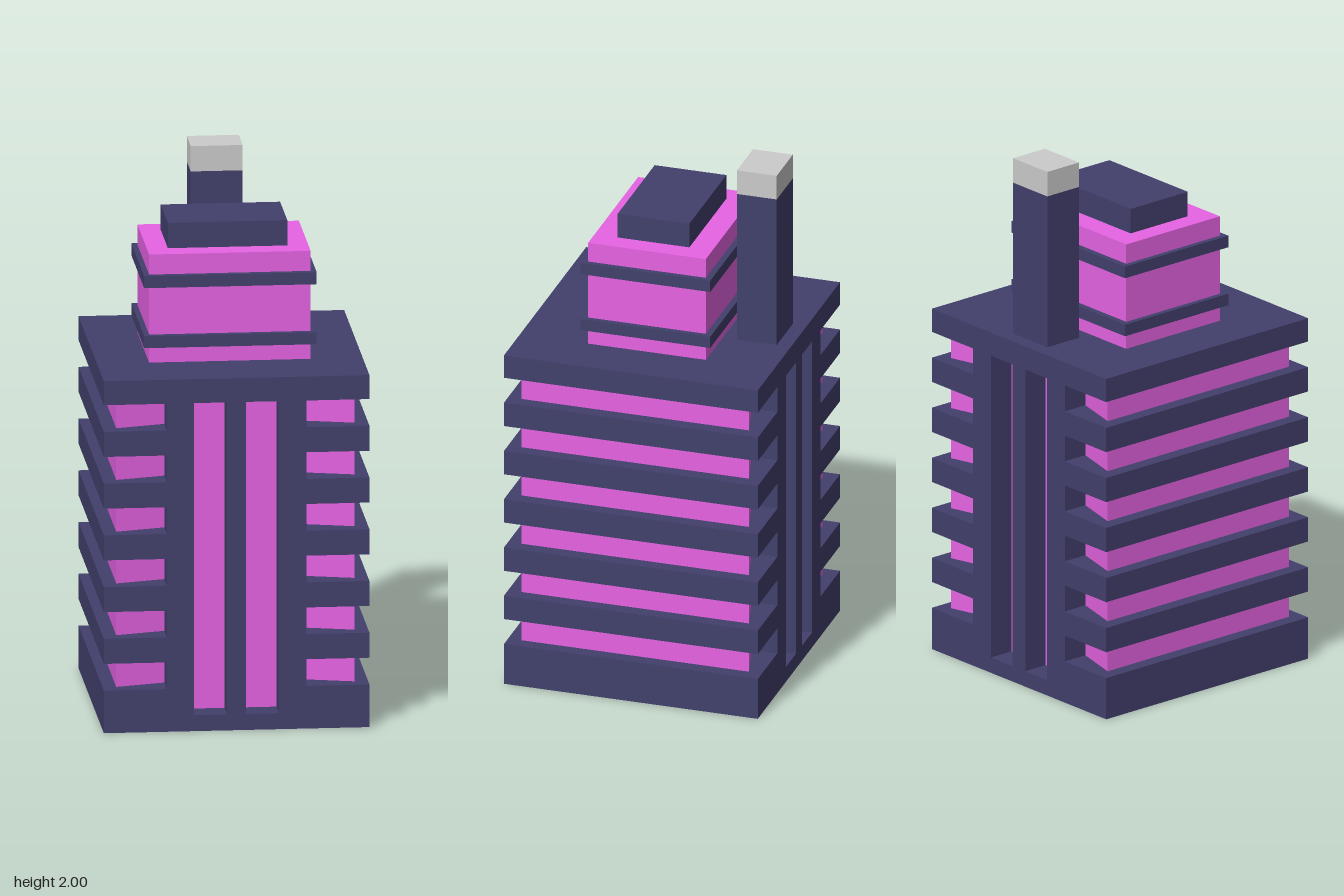
import * as THREE from 'three';

const mat = (color) => new THREE.MeshStandardMaterial({ color, flatShading: true });

export function createModel() {
  const group = new THREE.Group();
  const navy = mat(0x42406c), pink = mat(0xe663e3), grey = mat(0xcccccc);

  const add = (name, geometry, material) => {
    const mesh = new THREE.Mesh(geometry, material);
    mesh.name = name;
    group.add(mesh);
    return mesh;
  };
  // Box from half width, half depth, bottom, top and centre z
  const block = (name, hx, hz, y0, y1, material, z = 0) => {
    const mesh = add(name, new THREE.BoxGeometry(hx * 2, y1 - y0, hz * 2), material);
    mesh.position.set(0, (y0 + y1) / 2, z);
  };

  const W = 0.485, ROOF = 1.32, PANEL = 0.1, PITCH = 0.194, GAP = 0.1;
  const gaps = Array.from({ length: 6 }, (_, i) => 0.16 + i * PITCH);

  // Facade panel: comb-shaped sides and two tall window slots
  const right = [[W, 0]];
  for (const y of gaps) right.push([W, y], [0.255, y], [0.255, y + GAP], [W, y + GAP]);
  right.push([W, ROOF]);
  const left = right.map(([x, y]) => [-x, y]).reverse();
  const panel = new THREE.Shape([...right, ...left].map(([x, y]) => new THREE.Vector2(x, y)));
  for (const x of [-0.155, 0.035]) {
    panel.holes.push(new THREE.Path([
      [x, 0.06], [x, 1.23], [x + 0.12, 1.23], [x + 0.12, 0.06],
    ].map(([a, b]) => new THREE.Vector2(a, b))));
  }
  const panelGeometry = new THREE.ExtrudeGeometry(panel, { depth: PANEL, bevelEnabled: false });
  panelGeometry.translate(0, 0, W - PANEL);
  add('frontFacade', panelGeometry, navy);
  add('backFacade', panelGeometry, navy).rotation.y = Math.PI;

  // Base, floor slabs and roof between the two facades
  const inner = W - PANEL;
  block('base', W, inner, 0, gaps[0], navy);
  gaps.forEach((y, i) => {
    const top = i < 5 ? gaps[i + 1] : ROOF;
    block(i < 5 ? 'floorSlab' : 'roofSlab', W, inner, y + GAP, top, navy);
  });

  // Glazed core, its front and back recessed between the corners
  const plan = [[0.435, 0.435], [0.255, 0.387], [-0.255, 0.387], [-0.435, 0.435]];
  const outline = [...plan, ...plan.map(([x, z]) => [-x, -z])];
  const core = new THREE.ExtrudeGeometry(
    new THREE.Shape(outline.map(([x, z]) => new THREE.Vector2(x, z))),
    { depth: 1.22, bevelEnabled: false });
  core.rotateX(-Math.PI / 2).translate(0, 0.04, 0);
  add('glazedCore', core, pink);

  // Upper tower with two bands and a cap
  block('upperTower', 0.295, 0.225, ROOF, 1.725, pink);
  for (const y of [1.38, 1.605]) block('towerBand', 0.315, 0.248, y, y + 0.045, navy);
  block('towerCap', 0.218, 0.137, 1.725, 1.82, navy);

  // Chimney at the back
  block('chimney', 0.095, 0.076, ROOF, 1.905, navy, -0.355);
  block('chimneyTop', 0.095, 0.076, 1.905, 2, grey, -0.355);

  return group;
}
